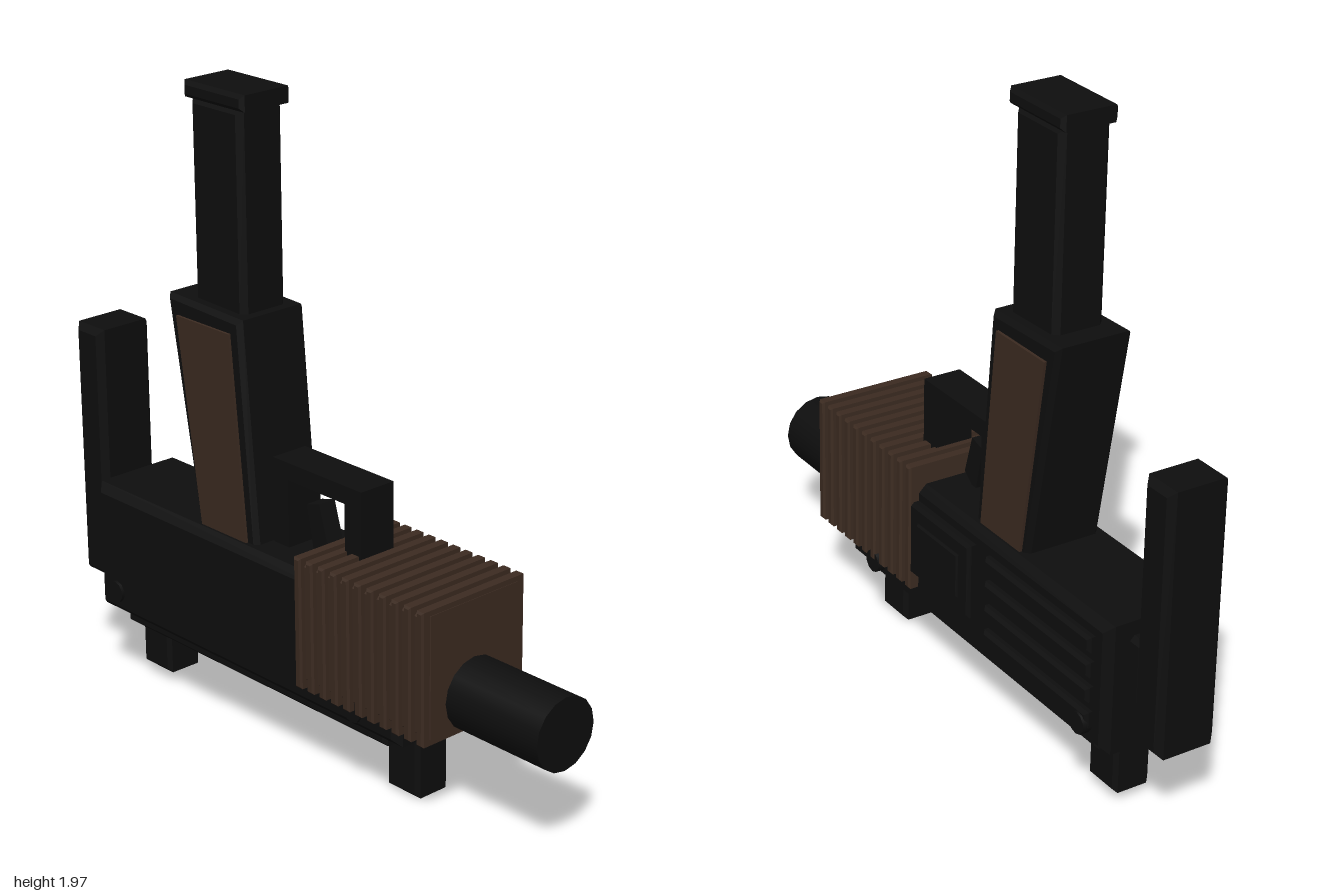
import * as THREE from 'three';

export function createModel() {
  const black = new THREE.MeshStandardMaterial({ color: 0x0e0e0e });
  black.name = 'black metal';
  const brown = new THREE.MeshStandardMaterial({ color: 0x3c2b21 });
  brown.name = 'dark brown grip';

  const root = new THREE.Group();
  root.name = 'upturnedGun';
  // the whole thing rests slightly turned and tilted
  const gun = new THREE.Group();
  gun.name = 'gunAssembly';
  gun.rotation.set(0.04, -0.078, -0.023);
  gun.position.z = -0.025;
  root.add(gun);

  const add = (name, geometry, material) => {
    const mesh = new THREE.Mesh(geometry, material);
    mesh.name = name;
    gun.add(mesh);
    return mesh;
  };

  // side outline extruded from z0 to z1, with chamfered face edges
  const prism = (name, points, z0, z1, chamfer = 0, material = black) => {
    const shape = new THREE.Shape(points.map(([x, y]) => new THREE.Vector2(x, y)));
    const geometry = new THREE.ExtrudeGeometry(shape, {
      depth: z1 - z0 - 2 * chamfer,
      bevelEnabled: chamfer > 0,
      bevelThickness: chamfer,
      bevelSize: chamfer,
      bevelOffset: -chamfer,
      bevelSegments: 1,
    });
    geometry.translate(0, 0, z0 + chamfer);
    return add(name, geometry, material);
  };
  const block = (name, x0, x1, y0, y1, halfZ, chamfer = 0, material = black) =>
    prism(name, [[x0, y0], [x1, y0], [x1, y1], [x0, y1]], -halfZ, halfZ, chamfer, material);

  // receiver and its lower rail
  block('receiver', -0.845, 0.5, 0.22, 0.63, 0.165, 0.025);
  block('lowerRail', -0.76, 0.41, 0.18, 0.24, 0.125, 0.012);

  // raised details on the back side of the receiver
  for (let i = 0; i < 4; i++) {
    const y = 0.29 + i * 0.08;
    prism('sideRib', [[-0.79, y], [-0.27, y], [-0.27, y + 0.05], [-0.79, y + 0.05]], -0.188, -0.15, 0.01);
  }
  prism('ejectionCover', [[-0.2, 0.34], [0.12, 0.34], [0.12, 0.58], [-0.2, 0.58]], -0.192, -0.15, 0.01);
  prism('coverPlate', [[-0.15, 0.39], [0.07, 0.39], [0.07, 0.53], [-0.15, 0.53]], -0.2, -0.18, 0.005);

  // pins through the receiver
  for (const [x, y] of [[-0.755, 0.295], [0.325, 0.28]]) {
    const pin = add('pin', new THREE.CylinderGeometry(0.035, 0.035, 0.37, 10), black);
    pin.rotation.x = Math.PI / 2;
    pin.position.set(x, y, -0.01);
  }

  // ribbed fore grip
  block('foreGrip', 0.115, 0.64, 0.305, 0.68, 0.18, 0.012, brown);
  const ribs = 11;
  for (let i = 0; i < ribs; i++) {
    const x = 0.11 + i * 0.05;
    block('foreGripRib', x, x + 0.028, 0.288, 0.696, 0.198, 0.006, brown);
  }

  // barrel
  const barrel = add('barrel', new THREE.CylinderGeometry(0.111, 0.111, 0.45, 16), black);
  barrel.rotation.z = Math.PI / 2;
  barrel.position.set(0.762, 0.395, 0);

  // rear stock plate and its joint
  block('stockPlate', -1.005, -0.88, 0.273, 1.097, 0.1, 0.02);
  block('stockJoint', -0.9, -0.82, 0.38, 0.585, 0.09, 0.015);

  // slanted handle with brown side panels
  prism('handle', [[-0.39, 0.6], [-0.13, 0.6], [-0.188, 1.306], [-0.514, 1.316]], -0.125, 0.125, 0.015);
  const panel = [[-0.37, 0.625], [-0.17, 0.625], [-0.228, 1.26], [-0.463, 1.26]];
  for (const z of [-0.134, 0.124]) prism('handlePanel', panel, z, z + 0.009, 0, brown);

  // magazine with end cap
  block('magazine', -0.438, -0.217, 1.28, 1.91, 0.083, 0.018);
  block('magazineCap', -0.455, -0.195, 1.905, 1.955, 0.092, 0.012);

  // trigger guard and trigger
  prism('triggerGuard', [
    [-0.125, 0.6], [-0.06, 0.6], [-0.06, 0.84], [0.18, 0.84],
    [0.18, 0.66], [0.25, 0.66], [0.25, 0.895], [-0.125, 0.895],
  ], -0.062, 0.062);
  prism('trigger', [[0.015, 0.615], [0.073, 0.66], [0.037, 0.785], [-0.018, 0.77]], -0.03, 0.03);

  // rear and front sights, which it stands on
  block('rearSight', -0.768, -0.638, 0.018, 0.2, 0.062, 0.012);
  block('frontSight', 0.347, 0.478, 0.016, 0.24, 0.062, 0.012);

  return root;
}
